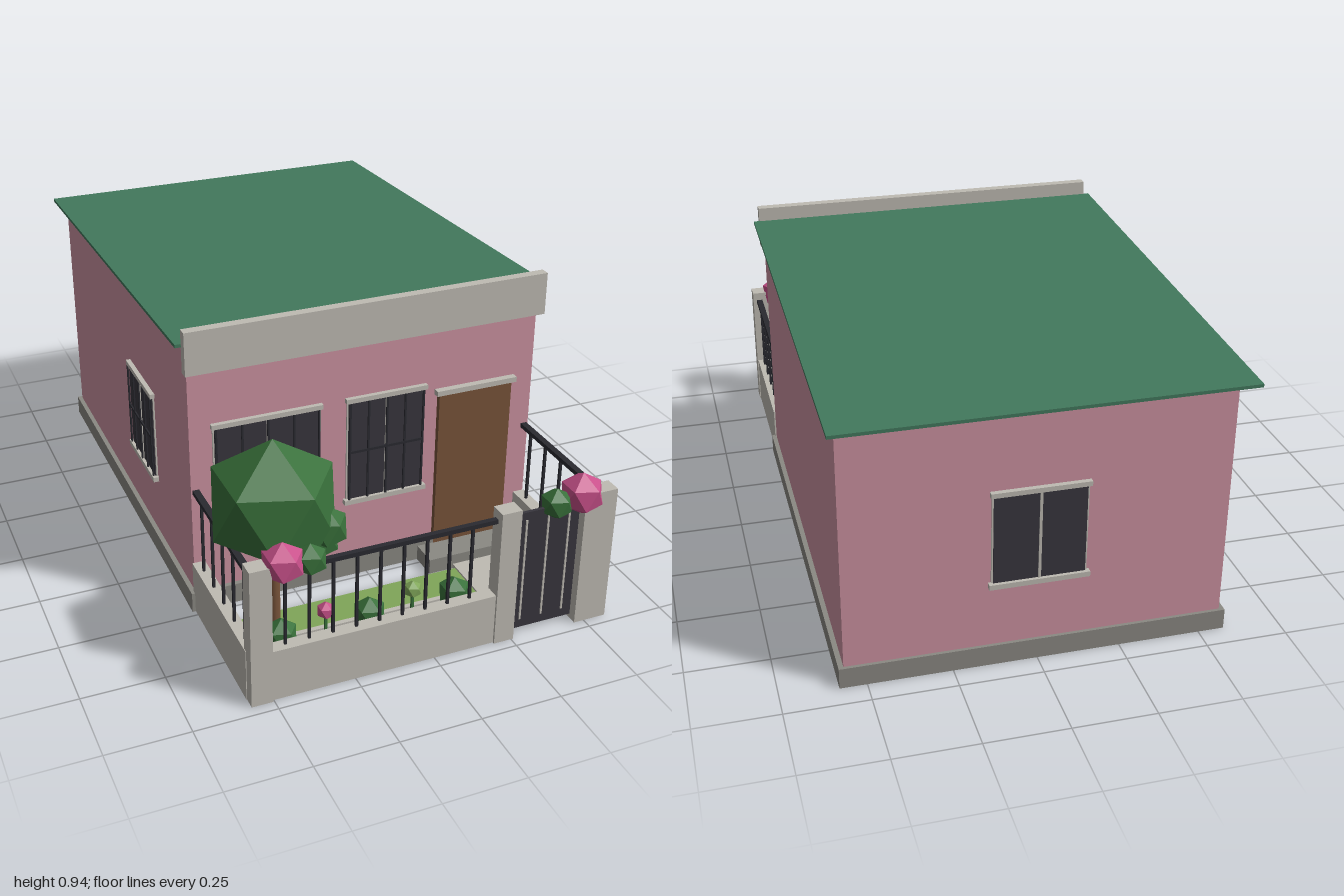
import * as THREE from 'three';

const material = (name, color, extra = {}) => {
  const m = new THREE.MeshStandardMaterial({ color, ...extra });
  m.name = name;
  return m;
};

export function createModel() {
  const wall = material('pink wall', 0xcc92a1);
  const stone = material('pale stone', 0xbfbbb3);
  const plinthGrey = material('plinth grey', 0x8b8983);
  const roofGreen = material('roof green', 0x42795d);
  const grass = material('grass', 0x80a659);
  const glass = material('dark glass', 0x38363e);
  const iron = material('dark iron', 0x2a2a30);
  const wood = material('brown wood', 0x78543a);
  const leaf = material('leaf green', 0x38703a, { flatShading: true });
  const blossom = material('blossom pink', 0xc8508a, { flatShading: true });

  const model = new THREE.Group();
  model.name = 'house';
  const add = (parent, name, geometry, mat) => {
    const mesh = new THREE.Mesh(geometry, mat);
    mesh.name = name;
    parent.add(mesh);
    return mesh;
  };
  const group = (name) => {
    const g = new THREE.Group();
    g.name = name;
    model.add(g);
    return g;
  };
  // Box given by its limits on each axis
  const box = (parent, name, mat, x0, x1, y0, y1, z0, z1) => {
    const mesh = add(parent, name, new THREE.BoxGeometry(x1 - x0, y1 - y0, z1 - z0), mat);
    mesh.position.set((x0 + x1) / 2, (y0 + y1) / 2, (z0 + z1) / 2);
    return mesh;
  };
  // Side profile of [z, y] points, extruded across x
  const sideProfile = (name, mat, points, width) => {
    const shape = new THREE.Shape(points.map(([z, y]) => new THREE.Vector2(z, y)));
    const geo = new THREE.ExtrudeGeometry(shape, { depth: width, bevelEnabled: false });
    geo.translate(0, 0, -width / 2).rotateY(-Math.PI / 2);
    return add(model, name, geo, mat);
  };
  // Faceted ball with one corner pointing straight up
  const ball = (parent, name, mat, x, y, z, r) => {
    const geo = new THREE.IcosahedronGeometry(r, 0).rotateZ(-0.5536);
    add(parent, name, geo, mat).position.set(x, y, z);
  };

  // House shell
  box(model, 'plinth', plinthGrey, -0.58, 0.58, 0, 0.065, -0.93, 0.48);
  sideProfile('walls', wall, [[0.465, 0.06], [0.465, 0.887], [-0.92, 0.84], [-0.92, 0.06]], 1.13);
  sideProfile('roof', roofGreen, [[0.467, 0.886], [0.467, 0.896], [-1, 0.846], [-1, 0.836]], 1.19);
  box(model, 'parapet', stone, -0.577, 0.577, 0.805, 0.94, 0.465, 0.495);

  // Window facing +z around its own origin at the bottom centre
  const makeWindow = (name, w, h, bars) => {
    const g = group(name);
    box(g, 'frame', stone, -w / 2 - 0.005, w / 2 + 0.005, 0, h, 0, 0.005);
    box(g, 'glass', glass, -w / 2, w / 2, 0, h, 0.004, 0.008);
    box(g, 'mullion', stone, -0.004, 0.004, 0, h, 0.006, 0.011);
    box(g, 'sill', stone, -w / 2 - 0.013, w / 2 + 0.013, -0.015, 0.001, 0, 0.018);
    box(g, 'lintel', stone, -w / 2 - 0.01, w / 2 + 0.01, h, h + 0.015, 0, 0.015);
    if (bars) {
      for (const f of [-0.5, -0.25, 0, 0.25, 0.5]) {
        const x = f * (w - 0.006);
        box(g, 'bar', iron, x - 0.003, x + 0.003, 0, h, 0.011, 0.016);
      }
      box(g, 'crossBar', iron, -w / 2, w / 2, h / 2 - 0.004, h / 2 + 0.004, 0.011, 0.016);
    }
    return g;
  };
  makeWindow('frontWindowWide', 0.33, 0.335, true).position.set(-0.325, 0.277, 0.465);
  makeWindow('frontWindow', 0.25, 0.335, true).position.set(0.06, 0.277, 0.465);
  const sideWindow = makeWindow('sideWindow', 0.25, 0.28, true);
  sideWindow.position.set(-0.565, 0.277, -0.015);
  sideWindow.rotation.y = -Math.PI / 2;
  const backWindow = makeWindow('backWindow', 0.27, 0.28, false);
  backWindow.position.set(0, 0.277, -0.92);
  backWindow.rotation.y = Math.PI;

  // Front door and step
  box(model, 'door', wood, 0.235, 0.485, 0.05, 0.585, 0.46, 0.482);
  box(model, 'doorLintel', stone, 0.225, 0.5, 0.583, 0.6, 0.46, 0.487);
  box(model, 'doorStep', plinthGrey, 0.18, 0.54, 0, 0.05, 0.475, 0.57);

  // Garden ground
  box(model, 'lawn', grass, -0.53, 0.53, 0, 0.01, 0.585, 0.92);
  box(model, 'path', stone, 0.262, 0.46, 0.002, 0.016, 0.565, 0.915);

  // Garden walls and pillars
  const fence = group('fence');
  box(fence, 'frontWall', stone, -0.53, 0.195, 0, 0.165, 0.918, 0.96);
  for (const s of [-1, 1]) {
    const x = s * 0.55;
    box(fence, 'sideWall', stone, x - 0.02, x + 0.02, 0, 0.165, 0.465, 0.93);
    box(fence, 'sideRail', iron, x - 0.01, x + 0.01, 0.403, 0.417, 0.465, 0.93);
    for (let i = 0; i < 5; i++) {
      const z = 0.515 + i * 0.09;
      box(fence, 'baluster', iron, x - 0.004, x + 0.004, 0.16, 0.405, z - 0.004, z + 0.004);
    }
  }
  box(fence, 'leftEndPillar', stone, 0.467, 0.573, 0, 0.445, 0.915, 0.967);
  box(fence, 'gatePillar', stone, 0.193, 0.257, 0, 0.445, 0.915, 0.967);
  box(fence, 'rightEndPillar', stone, -0.568, -0.503, 0, 0.445, 0.915, 0.967);
  box(fence, 'frontRail', iron, -0.51, 0.2, 0.403, 0.417, 0.929, 0.945);
  for (let i = 0; i < 9; i++) {
    const x = -0.455 + i * 0.0715;
    box(fence, 'baluster', iron, x - 0.004, x + 0.004, 0.16, 0.405, 0.933, 0.941);
  }

  // Gate with pale strips on both sides
  const gate = group('gate');
  box(gate, 'gatePanel', glass, 0.258, 0.466, 0.015, 0.415, 0.93, 0.94);
  for (const x of [0.29, 0.362, 0.432]) {
    box(gate, 'gateStrip', stone, x - 0.003, x + 0.003, 0.045, 0.39, 0.927, 0.943);
  }

  // Flower bed with alternating bushes and blooms
  const bed = group('flowerBed');
  box(bed, 'soil', wood, -0.49, 0.17, 0.005, 0.07, 0.805, 0.9);
  for (const [z0, z1] of [[0.79, 0.805], [0.895, 0.91]]) {
    box(bed, 'longEdge', stone, -0.5, 0.18, 0, 0.08, z0, z1);
  }
  for (const x of [-0.5, 0.168]) box(bed, 'endEdge', stone, x, x + 0.012, 0, 0.08, 0.8, 0.9);
  for (let i = 0; i < 5; i++) {
    const x = -0.435 + i * 0.137;
    if (i % 2 === 0) {
      ball(bed, 'bush', leaf, x, 0.135, 0.853, 0.05);
    } else {
      box(bed, 'stem', leaf, x - 0.004, x + 0.004, 0.06, 0.18, 0.849, 0.857);
      ball(bed, 'bloom', i === 1 ? blossom : grass, x, 0.178, 0.853, 0.028);
    }
  }

  // Tree
  const tree = group('tree');
  add(tree, 'trunk', new THREE.CylinderGeometry(0.018, 0.022, 0.42, 8), wood)
    .position.set(-0.425, 0.21, 0.77);
  ball(tree, 'crown', leaf, -0.423, 0.52, 0.77, 0.198);
  ball(tree, 'lowerCrown', leaf, -0.335, 0.42, 0.8, 0.1);
  ball(tree, 'sideCrown', leaf, -0.295, 0.45, 0.84, 0.067);

  // Flowers over the end pillars
  const pillarFlowers = group('pillarFlowers');
  ball(pillarFlowers, 'flower', blossom, -0.463, 0.436, 0.94, 0.065);
  ball(pillarFlowers, 'foliage', leaf, -0.38, 0.423, 0.935, 0.05);
  ball(pillarFlowers, 'flower', blossom, 0.472, 0.436, 0.935, 0.068);
  ball(pillarFlowers, 'foliage', leaf, 0.388, 0.42, 0.935, 0.05);

  return model;
}
